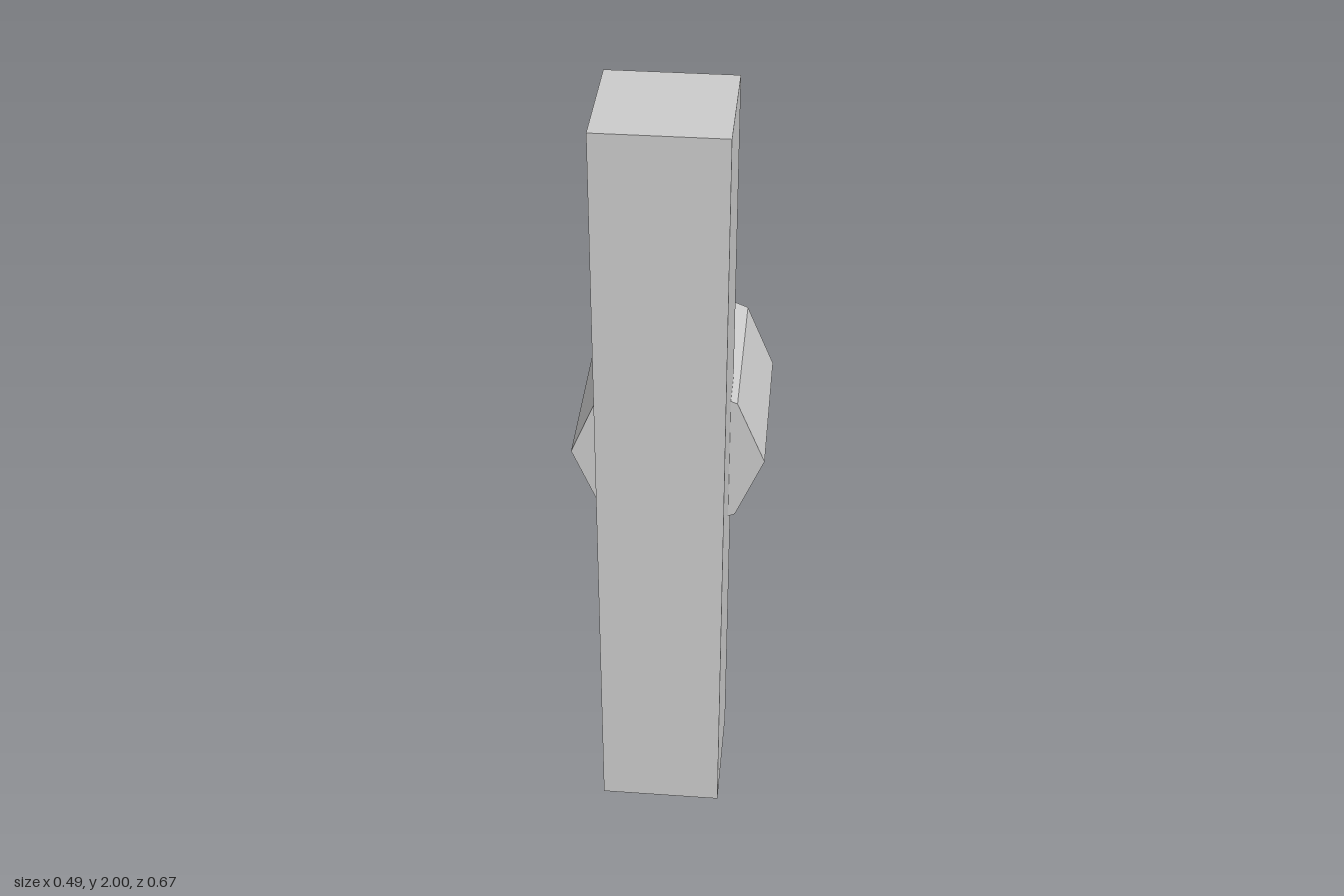
import * as THREE from 'three';

export function createModel() {
  const group = new THREE.Group();
  const grey = new THREE.MeshStandardMaterial({ color: 0xcccccc });
  grey.name = 'light grey';
  grey.flatShading = true;

  // Both parts lean back by one degree
  const tilt = -THREE.MathUtils.degToRad(1);
  const addPart = (name, geometry, y, z) => {
    const mesh = new THREE.Mesh(geometry, grey);
    mesh.name = name;
    mesh.position.set(0, y, z);
    mesh.rotation.x = tilt;
    group.add(mesh);
  };

  // Tall square bar
  addPart('uprightBar', new THREE.BoxGeometry(0.31, 1.995, 0.31), 1, 0.16);

  // Eight-sided knob, its axis running front to back
  const knob = new THREE.CylinderGeometry(0.243, 0.243, 0.442, 8).rotateX(Math.PI / 2);
  addPart('rearKnob', knob, 0.998, -0.108);

  return group;
}
